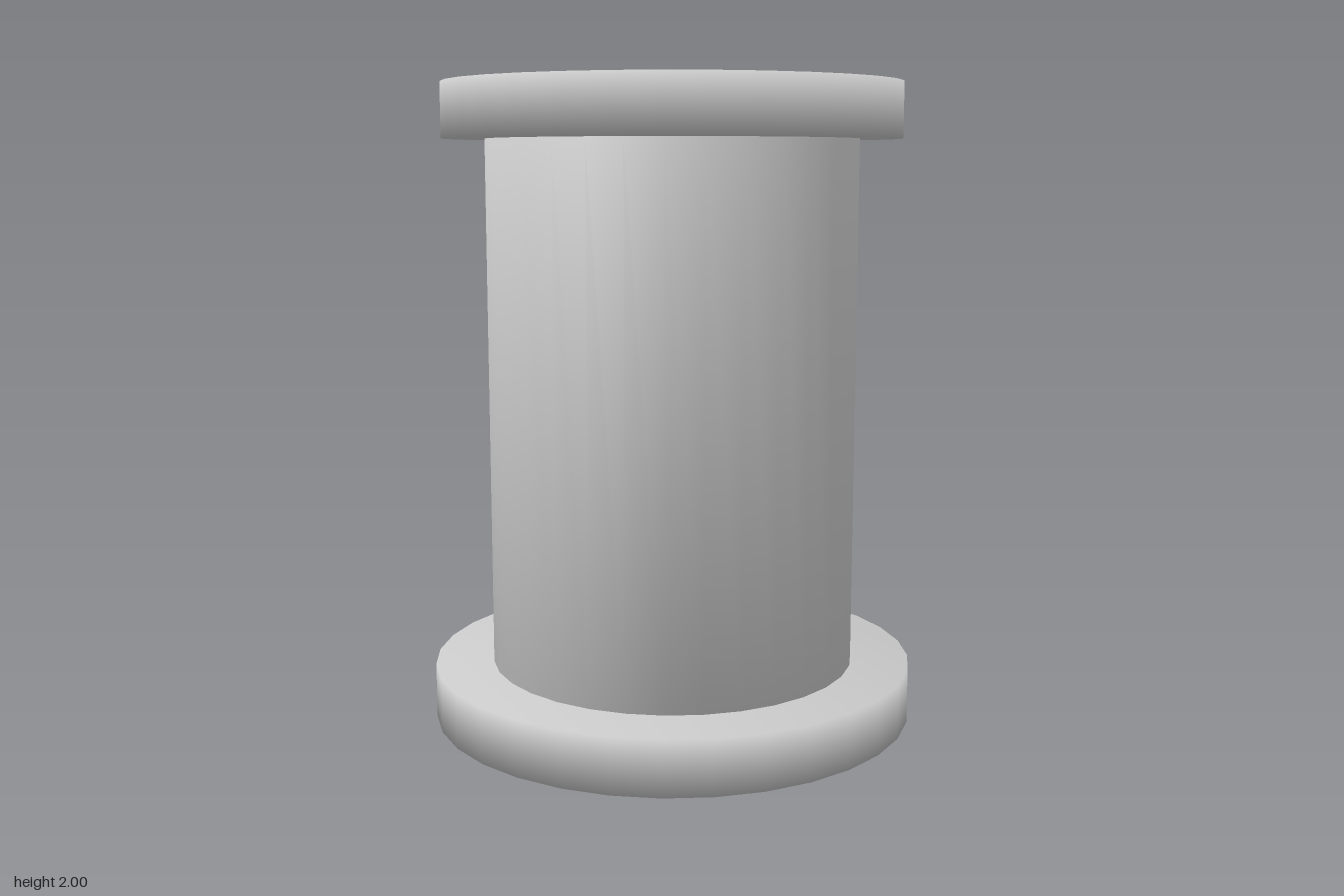
import * as THREE from 'three';

const material = new THREE.MeshStandardMaterial({ color: 0xcccccc });

// Closed 32-sided disc or drum, shaded smoothly across its rims
function drum(name, radius, y0, y1) {
  const profile = [[0, y0], [radius, y0], [radius, y1], [0, y1]]
    .map(([x, y]) => new THREE.Vector2(x, y));
  const mesh = new THREE.Mesh(new THREE.LatheGeometry(profile, 32), material);
  mesh.name = name;
  return mesh;
}

export function createModel() {
  const model = new THREE.Group();
  model.name = 'spool';
  model.add(
    drum('baseFlange', 0.765, 0, 0.173),
    drum('barrel', 0.58, 0.173, 1.83),
    drum('topFlange', 0.712, 1.83, 2),
  );
  return model;
}
